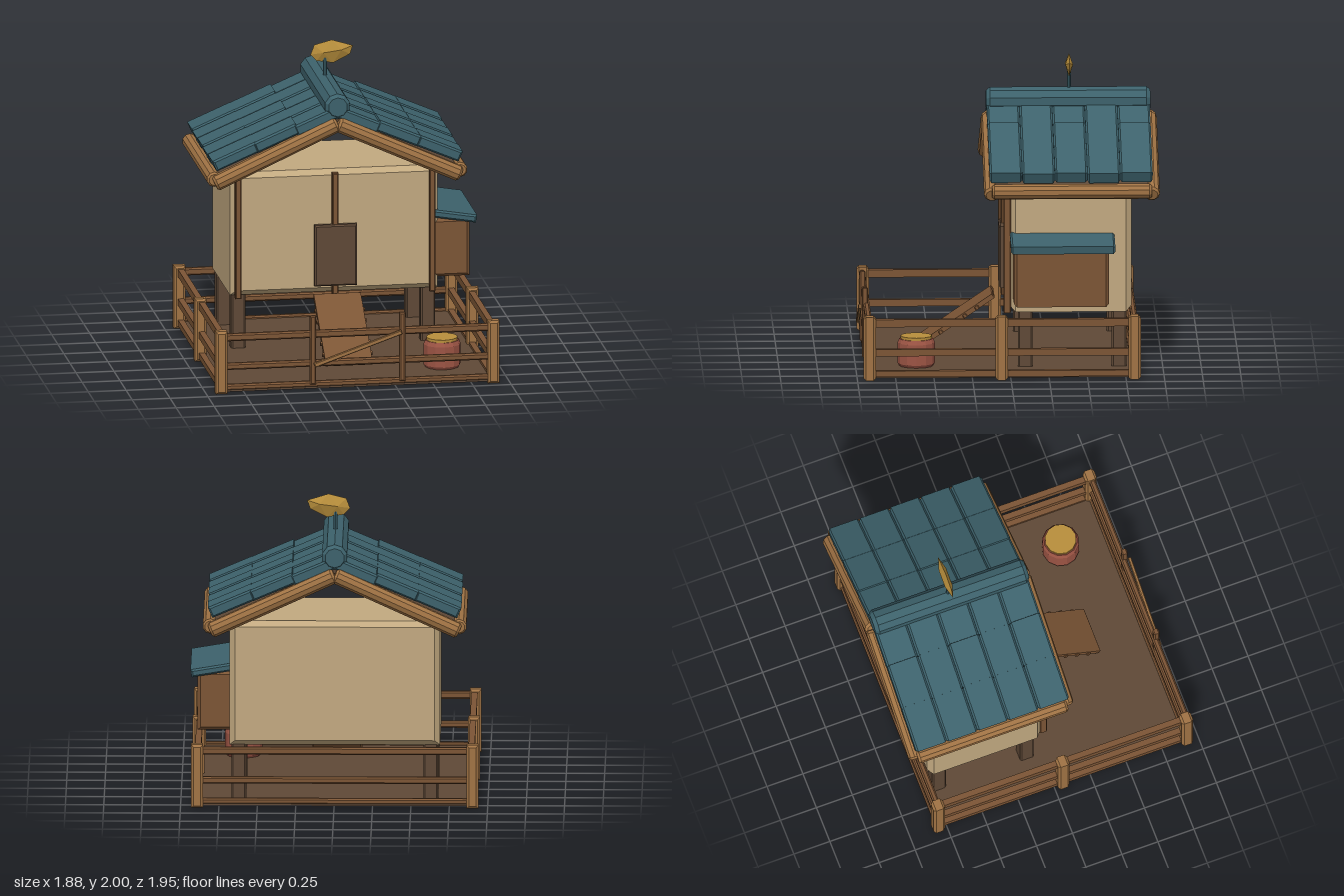
import * as THREE from 'three';
import { ConvexGeometry } from 'three/addons/geometries/ConvexGeometry.js';

const CX = -0.005; // centre line of the hut

export function createModel() {
  const root = new THREE.Group();
  root.name = 'henHouse';
  const mat = (name, color, flatShading = true) => {
    const m = new THREE.MeshStandardMaterial({ color, flatShading });
    m.name = name;
    return m;
  };
  const plaster = mat('plaster', 0xc2a980);
  const wood = mat('wood', 0x7c5535);
  const paleWood = mat('paleWood', 0xa07344);
  const darkWood = mat('darkWood', 0x5f4937);
  const teal = mat('tealTile', 0x3d626c);
  const gold = mat('gold', 0xb98f3c);
  const clay = mat('clay', 0x9c5444);

  const add = (name, geo, material, x = 0, y = 0, z = 0, parent = root) => {
    const m = new THREE.Mesh(geo, material);
    m.name = name;
    m.position.set(x, y, z);
    parent.add(m);
    return m;
  };

  // Box with chamfered edges, centred on its origin
  const chamferBox = (w, h, d, c = 0.01) => {
    const a = w / 2 - c, b = h / 2 - c;
    const s = new THREE.Shape([[-a, -b], [a, -b], [a, b], [-a, b]].map(p => new THREE.Vector2(...p)));
    const g = new THREE.ExtrudeGeometry(s, {
      depth: d - 2 * c, bevelEnabled: true, bevelThickness: c, bevelSize: c, bevelSegments: 1,
    });
    return g.translate(0, 0, -(d - 2 * c) / 2);
  };

  // Round log between two points, with softened ends
  const log = (name, a, b, r, material) => {
    const A = new THREE.Vector3(...a), B = new THREE.Vector3(...b), L = A.distanceTo(B);
    const g = new THREE.LatheGeometry([
      [0, -L / 2], [r * 0.75, -L / 2], [r, -L / 2 + r * 0.3], [r, L / 2 - r * 0.3], [r * 0.75, L / 2], [0, L / 2],
    ].map(p => new THREE.Vector2(...p)), 10);
    const m = add(name, g, material);
    m.position.copy(A).add(B).multiplyScalar(0.5);
    m.quaternion.setFromUnitVectors(new THREE.Vector3(0, 1, 0), B.sub(A).normalize());
    return m;
  };

  // Yard floor
  add('yardFloor', new THREE.BoxGeometry(1.8, 0.03, 1.76), darkWood, CX, 0.027, 0.06);

  // Fence posts and rails
  const fence = new THREE.Group();
  fence.name = 'fence';
  root.add(fence);
  for (const s of [-1, 1]) {
    for (const z of [-0.805, 0.06, 0.92])
      add('fencePost', chamferBox(0.076, 0.42, 0.08, 0.015), paleWood, CX + s * 0.897, 0.21, z, fence);
  }
  for (const [y, h] of [[0.04, 0.04], [0.18, 0.045], [0.375, 0.05]]) {
    for (const s of [-1, 1])
      add('sideRail', chamferBox(0.04, h, 1.72), wood, CX + s * 0.89, y, 0.06, fence);
    for (const z of [-0.805, 0.925])
      add('crossRail', chamferBox(1.78, h, 0.04), wood, CX, y, z, fence);
  }

  // Gate uprights and brace
  for (const x of [-0.3, 0.29])
    add('gatePost', chamferBox(0.038, 0.46, 0.04, 0.008), wood, x, 0.27, 0.935, fence);
  const brace = add('gateBrace', chamferBox(0.61, 0.03, 0.022, 0.005), paleWood, CX, 0.275, 0.967, fence);
  brace.rotation.z = Math.atan2(0.2, 0.57);

  // Stilts and walls
  for (const s of [-1, 1]) for (const z of [-0.1, -0.71])
    add('stilt', chamferBox(0.095, 0.42, 0.095), darkWood, CX + s * 0.625, 0.24, z);
  add('walls', chamferBox(1.37, 0.825, 0.79, 0.035), plaster, CX, 0.818, -0.395);

  // Front timber strips and door
  for (const x of [-0.64, 0, 0.64])
    add('frontTimber', chamferBox(0.038, 0.82, 0.05, 0.006), wood, CX + x, 0.805, 0.018);
  add('door', chamferBox(0.28, 0.41, 0.05, 0.01), darkWood, CX, 0.667, 0.032);

  // Entry ramp with cleats
  const ramp = new THREE.Group();
  ramp.name = 'ramp';
  ramp.position.set(CX, 0.245, 0.345);
  ramp.rotation.x = Math.atan2(0.34, 0.5);
  root.add(ramp);
  add('rampBoard', chamferBox(0.31, 0.032, 0.61, 0.006), wood, 0, 0, 0, ramp);
  for (let i = 0; i < 5; i++)
    add('rampCleat', chamferBox(0.33, 0.024, 0.028, 0.005), wood, 0, -0.004, -0.17 + i * 0.095, ramp);

  // Nest box with sloping lid
  add('nestBox', chamferBox(0.25, 0.39, 0.62, 0.02), wood, 0.765, 0.67, -0.33);
  const lid = add('nestBoxLid', chamferBox(0.41, 0.052, 0.68, 0.012), teal, 0.73, 0.892, -0.34);
  lid.rotation.z = -0.165;

  // Roof boards, tiles and log trim
  for (const s of [-1, 1]) {
    const board = add('roofBoard', new THREE.BoxGeometry(0.9, 0.04, 1.02), darkWood, CX + s * 0.405, 1.415, -0.4);
    board.rotation.z = -s * 0.434;
    for (let k = 0; k < 3; k++) for (let j = 0; j < 5; j++) {
      const lift = ((j * 2 + k * 3) % 4) * 0.003;
      const x = 0.135 + 0.268 * k;
      const tile = add('roofTile', chamferBox(0.305, 0.075, 0.212, 0.012), teal,
        CX + s * x, 1.597 - 0.41 * (x - 0.12) + lift, 0.03 - j * 0.2125);
      tile.rotation.z = -s * 0.405;
    }
    for (const z of [0.12, -0.92])
      log('gableLog', [CX, 1.57, z], [CX + s * 0.81, 1.2, z], 0.053, paleWood);
    log('eaveLog', [CX + s * 0.81, 1.225, 0.12], [CX + s * 0.81, 1.225, -0.92], 0.05, paleWood);
  }
  log('ridgeTile', [CX, 1.685, 0.14], [CX, 1.685, -0.93], 0.085, teal);

  // Weathervane
  add('vanePole', new THREE.CylinderGeometry(0.013, 0.013, 0.16, 8), teal, CX, 1.82, -0.4);
  const outline = [[-0.1, 1.905], [-0.075, 1.97], [0.04, 2.0], [0.18, 1.957], [0.16, 1.9], [0.05, 1.845], [-0.06, 1.862]];
  const pts = outline.map(([x, y]) => new THREE.Vector3(x, y, 0));
  for (const z of [-0.025, 0.025])
    pts.push(new THREE.Vector3(-0.02, 1.92, z), new THREE.Vector3(0.1, 1.935, z));
  add('vaneFigure', new ConvexGeometry(pts), gold, 0, 0, -0.4);

  // Feed tub and its grain
  const tub = [[0, 0.035], [0.105, 0.035], [0.122, 0.06], [0.122, 0.195], [0.11, 0.222], [0, 0.222]];
  add('feedTub', new THREE.LatheGeometry(tub.map(p => new THREE.Vector2(...p)), 12), clay, 0.605, 0, 0.61);
  add('grain', new THREE.CylinderGeometry(0.103, 0.103, 0.03, 12), gold, 0.605, 0.225, 0.61);

  return root;
}
